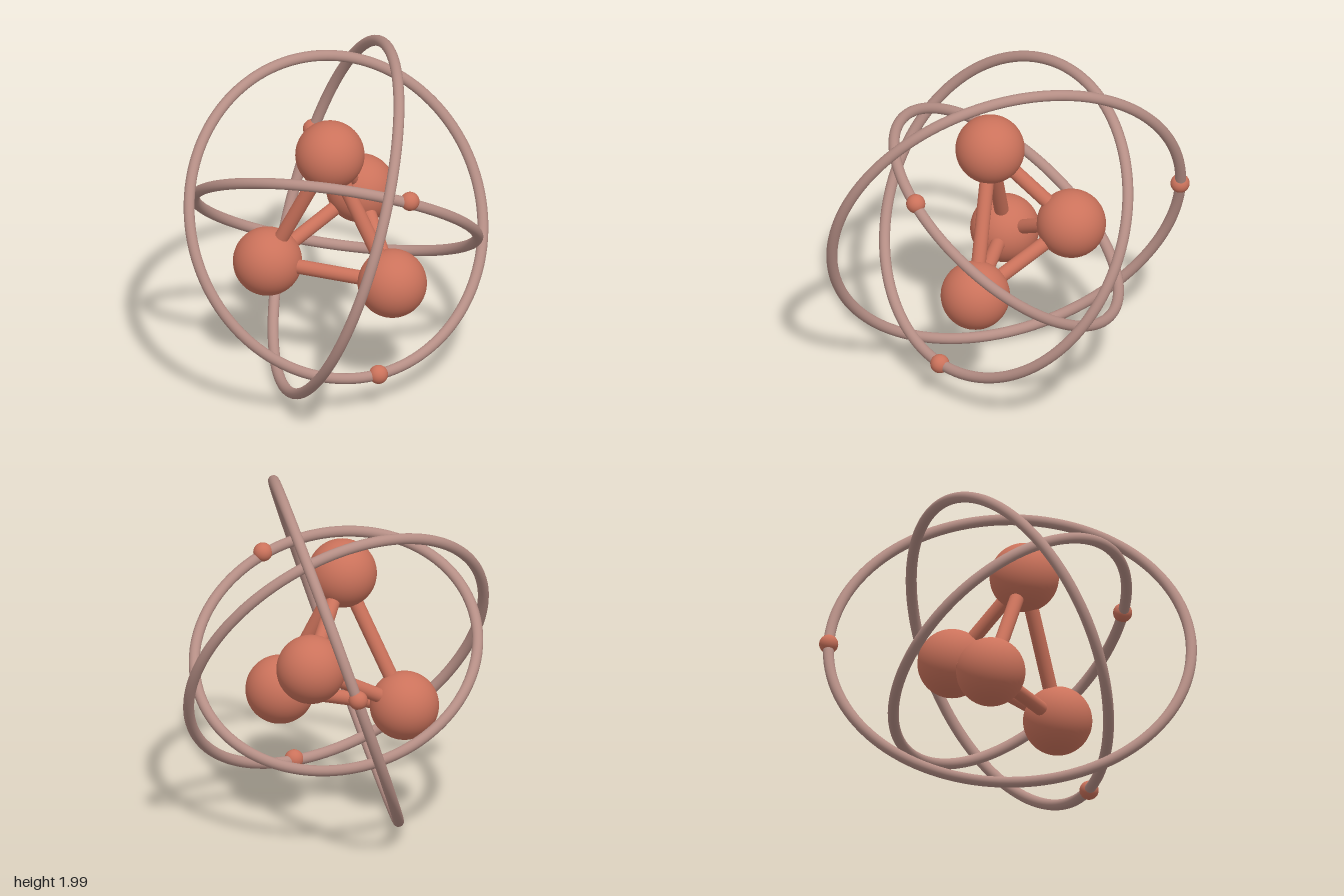
import * as THREE from 'three';

export function createModel() {
  const model = new THREE.Group();
  const copper = new THREE.MeshStandardMaterial({ color: 0xcb725b });
  copper.name = 'copper';
  const dustyRose = new THREE.MeshStandardMaterial({ color: 0xb58e85 });
  dustyRose.name = 'dusty rose';

  const add = (name, geometry, material, position) => {
    const mesh = new THREE.Mesh(geometry, material);
    mesh.name = name;
    mesh.position.copy(position);
    model.add(mesh);
    return mesh;
  };

  // Four core balls at the corners of a tetrahedron
  const corners = [
    ['topBall', 0, 1.437, 0.1],
    ['leftBall', 0.377, 0.7, 0.1],
    ['rightBall', -0.377, 0.7, 0.1],
    ['backBall', 0, 1.012, -0.368],
  ].map(([name, x, y, z]) => ({ name, at: new THREE.Vector3(x, y, z) }));
  const ballGeometry = new THREE.SphereGeometry(0.195, 48, 32);
  corners.forEach(({ name, at }) => add(name, ballGeometry, copper, at));

  // A rod between every pair of balls
  const up = new THREE.Vector3(0, 1, 0);
  for (let i = 0; i < corners.length; i++) {
    for (let j = i + 1; j < corners.length; j++) {
      const a = corners[i].at, b = corners[j].at;
      const span = b.clone().sub(a);
      const rod = add('rod', new THREE.CylinderGeometry(0.041, 0.041, span.length(), 24),
        copper, a.clone().lerp(b, 0.5));
      rod.quaternion.setFromUnitVectors(up, span.normalize());
    }
  }

  // Three tilted orbit rings, each carrying a small bead
  const center = new THREE.Vector3(0, 1.003, 0.007);
  const forward = new THREE.Vector3(0, 0, 1);
  const orbits = [
    { name: 'outer', radius: 1.02, normal: [-0.822, 0.32, 0.469], bead: [-0.495, 1.052, -0.883] },
    { name: 'middle', radius: 0.916, normal: [0.676, 0.513, 0.53], bead: [0.375, 0.222, 0.305] },
    { name: 'inner', radius: 0.805, normal: [-0.095, 0.783, -0.615], bead: [0.6, 1.393, 0.393] },
  ];
  const beadGeometry = new THREE.SphereGeometry(0.054, 32, 20);
  for (const { name, radius, normal, bead } of orbits) {
    const ring = add(name + 'Ring', new THREE.TorusGeometry(radius, 0.031, 20, 128), dustyRose, center);
    ring.quaternion.setFromUnitVectors(forward, new THREE.Vector3(...normal).normalize());
    add(name + 'Bead', beadGeometry, copper, new THREE.Vector3(...bead));
  }
  return model;
}
